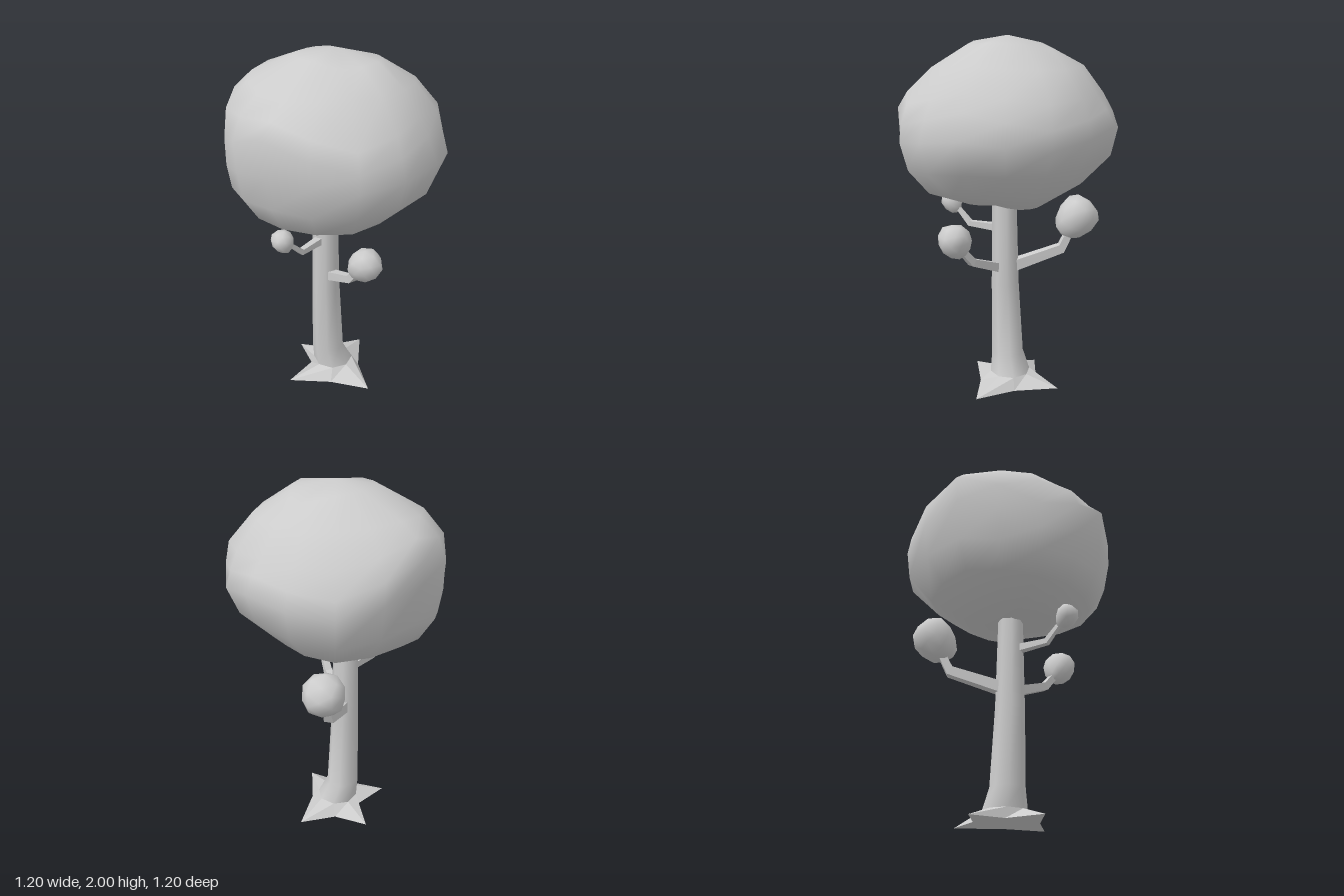
import * as THREE from 'three';
import { mergeVertices, toCreasedNormals } from 'three/addons/utils/BufferGeometryUtils.js';

const V = (x, y, z) => new THREE.Vector3(x, y, z);
const grey = new THREE.MeshStandardMaterial({ color: 0xcccccc });
const flat = new THREE.MeshStandardMaterial({ color: 0xcccccc, flatShading: true });

// Skin a list of equal-length rings and close both ends with fans to their middles (or given poles).
function loft(rings, poles = []) {
  const n = rings[0].length, last = rings.length - 1, index = [];
  const middle = r => r.reduce((s, p) => s.add(p), V(0, 0, 0)).divideScalar(n);
  const points = [...rings.flat(), poles[0] ?? middle(rings[0]), poles[1] ?? middle(rings[last])];
  for (let j = 0; j < n; j++) {
    const k = (j + 1) % n;
    for (let i = 0; i < last; i++) {
      const a = i * n, b = a + n;
      index.push(a + j, a + k, b + k, a + j, b + k, b + j);
    }
    index.push(points.length - 2, k, j, points.length - 1, last * n + j, last * n + k);
  }
  const geo = new THREE.BufferGeometry().setFromPoints(points);
  geo.setIndex(index);
  geo.computeVertexNormals();
  return geo;
}

// Ring of points, counter-clockwise from above; trunk rings are turned to line up with the roots
const ring = (n, fn) => Array.from({ length: n }, (_, j) => fn((j / n) * Math.PI * 2, j));
const circle = (x, y, z, r) => ring(8, a => V(x + r * Math.cos(a - 0.2), y, z - r * Math.sin(a - 0.2)));

// Square tapering branch following a bent path
function branch(path, radii) {
  const rings = path.map((p, i) => {
    const t = path[Math.min(i + 1, path.length - 1)].clone().sub(path[Math.max(i - 1, 0)]).normalize();
    const u = t.clone().cross(V(0, 1, 0)).normalize(), v = t.clone().cross(u);
    return ring(4, a => p.clone()
      .addScaledVector(u, radii[i] * Math.cos(a + Math.PI / 4))
      .addScaledVector(v, radii[i] * Math.sin(a + Math.PI / 4)));
  });
  return loft(rings);
}

// Lumpy egg of leaves, its wide end pointing along dir
function leafBall(r, dir, seed) {
  const geo = new THREE.IcosahedronGeometry(1, 1);
  geo.deleteAttribute('normal');
  geo.deleteAttribute('uv');
  const ball = mergeVertices(geo, 1e-3), pos = ball.attributes.position;
  for (let i = 0; i < pos.count; i++) {
    const p = V().fromBufferAttribute(pos, i);
    const lump = 1 + 0.06 * Math.sin(3 * p.x + seed) * Math.cos(4 * p.z + 2 * seed);
    const wide = 1 + 0.2 * p.y;
    pos.setXYZ(i, p.x * r * lump * wide, p.y * r * 1.2 * lump, p.z * r * lump * wide);
  }
  ball.applyQuaternion(new THREE.Quaternion().setFromUnitVectors(V(0, 1, 0), dir.clone().normalize()));
  ball.computeVertexNormals();
  return ball;
}

// Crown outlines [radius, height], bottom to top, every 45 degrees from +x by way of -z
const outlines = [
  [[.16, 1.11], [.36, 1.19], [.55, 1.34], [.6, 1.51], [.54, 1.64], [.49, 1.73], [.4, 1.85], [.25, 1.96]],
  [[.18, 1.09], [.36, 1.19], [.51, 1.33], [.58, 1.46], [.575, 1.56], [.55, 1.68], [.42, 1.83], [.22, 1.95]],
  [[.18, 1.08], [.36, 1.2], [.55, 1.39], [.6, 1.55], [.55, 1.63], [.5, 1.7], [.4, 1.84], [.25, 1.92]],
  [[.22, 1.1], [.45, 1.2], [.58, 1.33], [.6, 1.48], [.585, 1.58], [.53, 1.7], [.41, 1.85], [.2, 1.96]],
  [[.2, 1.12], [.47, 1.23], [.55, 1.38], [.585, 1.6], [.6, 1.74], [.53, 1.81], [.44, 1.87], [.18, 1.97]],
  [[.22, 1.1], [.48, 1.17], [.56, 1.28], [.58, 1.41], [.58, 1.56], [.56, 1.72], [.45, 1.85], [.22, 1.97]],
  [[.26, 1.11], [.47, 1.18], [.55, 1.32], [.58, 1.5], [.6, 1.69], [.53, 1.76], [.43, 1.83], [.2, 1.97]],
  [[.22, 1.1], [.45, 1.18], [.56, 1.31], [.6, 1.46], [.59, 1.55], [.555, 1.65], [.38, 1.84], [.22, 1.94]],
];

// Rings through the outlines, with one averaged point between neighbours
function crown() {
  const rings = outlines[0].map((_, i) => ring(16, (a, j) => {
    const [r0, y0] = outlines[Math.floor(j / 2)][i], [r1, y1] = outlines[Math.ceil(j / 2) % 8][i];
    const r = (r0 + r1) / 2;
    return V(r * Math.cos(a), (y0 + y1) / 2, -r * Math.sin(a));
  }));
  return loft(rings, [V(0, 1.09, 0), V(0, 2, 0)]);
}

export function createModel() {
  const tree = new THREE.Group();
  tree.name = 'tree';
  const add = (name, geo, material = grey) => {
    const mesh = new THREE.Mesh(geo, material);
    mesh.name = name;
    tree.add(mesh);
    return mesh;
  };

  // Four pointed roots spreading from the foot of the trunk: tips and notches in turn
  const star = [
    [.285, .07], [.11, -.09], [-.02, -.31], [-.13, -.13],
    [-.31, -.05], [-.145, .06], [-.15, .275], [.065, .147],
  ].map(([x, z]) => V(x, 0, z));
  add('roots', loft([star, circle(-.025, .06, -.005, .117)]), flat);

  // Trunk, flared at the foot
  const trunk = loft([
    circle(-.025, .06, -.005, .117), circle(-.045, .17, .02, .093),
    circle(-.045, .6, .035, .08), circle(-.045, 1.2, .04, .068),
  ]);
  add('trunk', toCreasedNormals(trunk, 0.9));

  // Side branches, each ending in a leaf ball
  const limbs = [
    { name: 'left', path: [V(.005, .705, .06), V(.19, .78, .13), V(.28, .89, .17)],
      radii: [.036, .03, .024], at: V(.302, .92, .175), r: .089, dir: V(.6, .8, .1) },
    { name: 'back', path: [V(-.06, .7, .01), V(-.205, .8, -.25), V(-.235, .92, -.3)],
      radii: [.045, .037, .028], at: V(-.243, .98, -.322), r: .113, dir: V(-.35, .7, -.5) },
    { name: 'front', path: [V(-.045, .93, .08), V(-.048, .935, .26), V(-.065, 1.03, .36)],
      radii: [.03, .022, .014], at: V(-.07, 1.045, .385), r: .059, dir: V(-.1, .6, .4) },
  ];
  limbs.forEach(({ name, path, radii, at, r, dir }, i) => {
    add(name + 'Branch', branch(path, radii), flat);
    add(name + 'LeafBall', leafBall(r, dir, i * 1.7)).position.copy(at);
  });

  // Main crown
  add('crown', crown());
  return tree;
}
